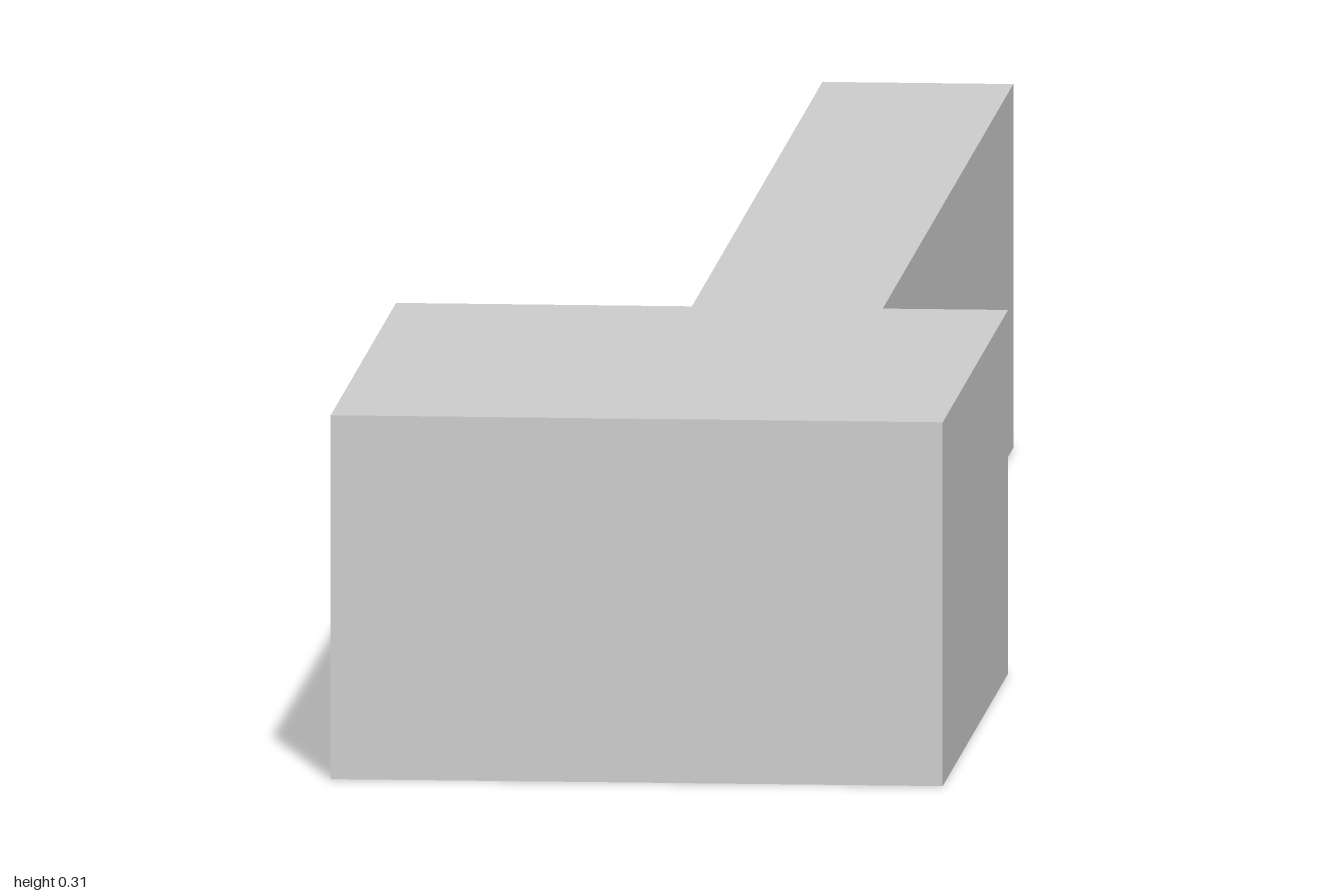
import * as THREE from 'three';

const material = new THREE.MeshStandardMaterial({ color: 0xcccccc, side: THREE.DoubleSide });

const HEIGHT = 0.307;
const LEFT = 0.265, RIGHT = -0.248, FRONT = 1, STEP = 0.333, BACK = -1;
const ARM_LEFT = 0.16, ARM_RIGHT = 0;
// window opening in the right wall
const WIN = { z0: 0.53, z1: 0.74, y0: 0.1, y1: 0.208, depth: 0.017 };

// Sweeps a chain of points along one vector, giving flat thin walls.
function sweptWalls(points, sweep) {
  const corners = [];
  for (let i = 0; i < points.length - 1; i++) {
    const a = points[i], b = points[i + 1];
    const c = b.clone().add(sweep), d = a.clone().add(sweep);
    corners.push(a, b, c, a, c, d);
  }
  const geometry = new THREE.BufferGeometry().setFromPoints(corners);
  geometry.computeVertexNormals();
  return geometry;
}

const shapeFrom = (pairs) => new THREE.Shape(pairs.map(([x, y]) => new THREE.Vector2(x, y)));
const rectangle = (x0, y0, x1, y1) => [[x0, y0], [x1, y0], [x1, y1], [x0, y1]];

export function createModel() {
  const model = new THREE.Group();
  model.name = 'building';
  const add = (name, geometry) => {
    const mesh = new THREE.Mesh(geometry, material);
    mesh.name = name;
    model.add(mesh);
  };

  // Plan of the hollow shell as x, z: wide front block with a long narrow wing
  const plan = [
    [RIGHT, FRONT], [LEFT, FRONT], [LEFT, STEP], [ARM_LEFT, STEP],
    [ARM_LEFT, BACK], [ARM_RIGHT, BACK], [ARM_RIGHT, STEP], [RIGHT, STEP],
  ];

  // All walls except the one with the window
  add('walls', sweptWalls(
    plan.map(([x, z]) => new THREE.Vector3(x, 0, z)),
    new THREE.Vector3(0, HEIGHT, 0),
  ));

  // Floor and roof share the plan
  add('floor', new THREE.ShapeGeometry(shapeFrom(plan)).rotateX(Math.PI / 2));
  add('roof', new THREE.ShapeGeometry(shapeFrom(plan.map(([x, z]) => [x, -z])))
    .rotateX(-Math.PI / 2).translate(0, HEIGHT, 0));

  // Right wall with its opening, drawn as z, y
  const opening = rectangle(WIN.z0, WIN.y0, WIN.z1, WIN.y1);
  const wall = shapeFrom(rectangle(STEP, 0, FRONT, HEIGHT));
  wall.holes.push(shapeFrom(opening));
  add('windowWall', new THREE.ShapeGeometry(wall).rotateY(-Math.PI / 2).translate(RIGHT, 0, 0));

  // Thin open sleeve standing out around the opening
  add('windowSleeve', sweptWalls(
    [...opening, opening[0]].map(([z, y]) => new THREE.Vector3(RIGHT, y, z)),
    new THREE.Vector3(-WIN.depth, 0, 0),
  ));

  return model;
}
